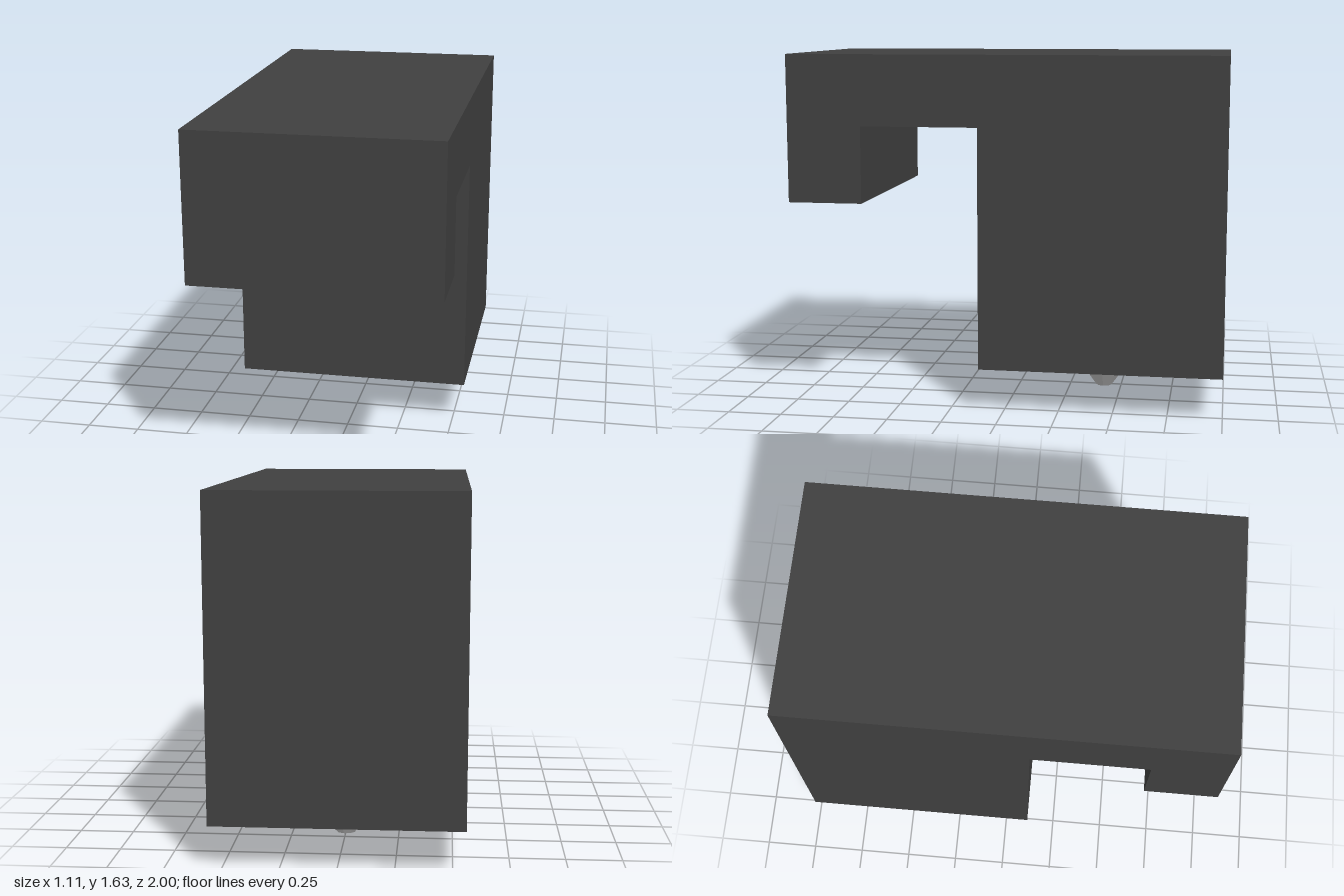
import * as THREE from 'three';

export function createModel() {
  const group = new THREE.Group();
  const charcoal = new THREE.MeshStandardMaterial({ color: 0x404040 });
  charcoal.name = 'charcoal';
  const silver = new THREE.MeshStandardMaterial({ color: 0xc0c0c0 });
  silver.name = 'silver';

  // Hooked body: side profile as (z, y), extruded across the width
  const width = 1.114;
  const profile = [
    [-1, 0.197], [0.115, 0.197], [0.115, 1.31], [0.655, 1.31],
    [0.655, 0.955], [1, 0.955], [1, 1.635], [-1, 1.635],
  ];
  const shape = new THREE.Shape(profile.map(([z, y]) => new THREE.Vector2(z, y)));
  const bodyGeometry = new THREE.ExtrudeGeometry(shape, { depth: width, bevelEnabled: false });
  bodyGeometry.rotateY(-Math.PI / 2).translate(width / 2, 0, 0);
  const body = new THREE.Mesh(bodyGeometry, charcoal);
  body.name = 'body';
  group.add(body);

  // Nine-sided nozzle, slightly flattened in z, with one corner towards +x
  const nozzle = new THREE.Group();
  nozzle.name = 'nozzle';
  const addSection = (name, topRadius, bottomRadius, y0, y1, open) => {
    const geometry = new THREE.CylinderGeometry(
      topRadius, bottomRadius, y1 - y0, 9, 1, open, Math.PI / 2).toNonIndexed();
    geometry.scale(1, 1, 0.883).translate(0, (y0 + y1) / 2, 0);
    geometry.computeVertexNormals();
    const mesh = new THREE.Mesh(geometry, silver);
    mesh.name = name;
    nozzle.add(mesh);
  };
  addSection('nozzleCollar', 0.1615, 0.1615, 0.145, 0.197, true);
  addSection('nozzleTip', 0.1615, 0.0445, 0, 0.145, false);
  nozzle.position.z = -0.415;
  group.add(nozzle);

  return group;
}
